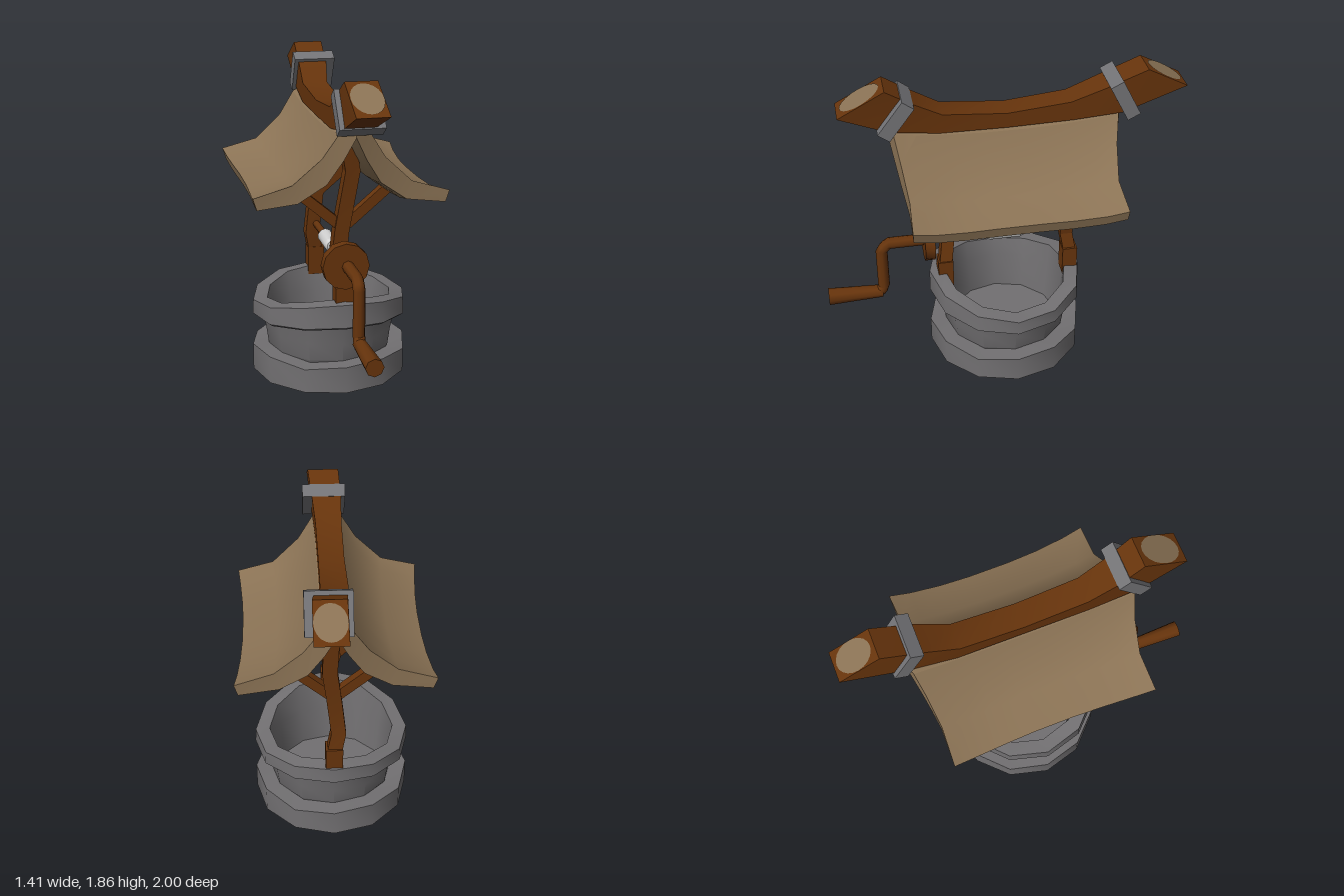
import * as THREE from 'three';
import { toCreasedNormals } from 'three/addons/utils/BufferGeometryUtils.js';

const mat = (name, color) => {
  const m = new THREE.MeshStandardMaterial({ color });
  m.name = name;
  return m;
};
const V = (x, y, z) => new THREE.Vector3(x, y, z);

// Skin over sections along z; each has top and bottom rows running from -x to +x
function loft(sections) {
  const out = [];
  const quad = (a, b, c, d) => [a, b, c, a, c, d].forEach(p => out.push(p.x, p.y, p.z));
  const loops = sections.map(s => [...s.top, ...[...s.bottom].reverse()]);
  for (let k = 0; k < loops.length - 1; k++) {
    const A = loops[k], B = loops[k + 1], n = A.length;
    for (let i = 0; i < n; i++) quad(A[i], B[i], B[(i + 1) % n], A[(i + 1) % n]);
  }
  const first = sections[0], last = sections[sections.length - 1];
  for (let i = 0; i < first.top.length - 1; i++) {
    quad(last.bottom[i], last.bottom[i + 1], last.top[i + 1], last.top[i]);
    quad(first.bottom[i + 1], first.bottom[i], first.top[i], first.top[i + 1]);
  }
  const g = new THREE.BufferGeometry();
  g.setAttribute('position', new THREE.Float32BufferAttribute(out, 3));
  return toCreasedNormals(g, 0.5);
}

// Twelve-sided turned stone whose heights waver around the circle
function stoneRing(profile, wave) {
  const g = new THREE.LatheGeometry(profile.map(p => new THREE.Vector2(...p)), 12);
  const pos = g.attributes.position;
  for (let i = 0; i < pos.count; i++) {
    const a = Math.atan2(pos.getX(i), pos.getZ(i));
    pos.setY(i, pos.getY(i) + wave(a, pos.getY(i)));
  }
  return toCreasedNormals(g, 0.6);
}

// Square timber following [x, y, z] points from bottom to top
function timber(path, w, d) {
  const n = path.length - 1;
  const g = new THREE.BoxGeometry(w, n, d, 1, n, 1);
  const pos = g.attributes.position;
  for (let i = 0; i < pos.count; i++) {
    const [x, y, z] = path[Math.round(pos.getY(i) + n / 2)];
    pos.setXYZ(i, pos.getX(i) + x, y, pos.getZ(i) + z);
  }
  return toCreasedNormals(g, 0.2);
}

export function createModel() {
  const wood = mat('brown wood', 0x67340c);
  const straw = mat('tan roof', 0x8b7355);
  const stone = mat('grey stone', 0x727072);
  const iron = mat('grey bracket', 0x747477);
  const rope = mat('pale rope', 0xd2d2d2);

  const model = new THREE.Group();
  const well = new THREE.Group();
  well.name = 'well';
  well.position.set(-0.009, 0, -0.035);
  well.rotation.y = -0.325;
  model.add(well);
  const add = (name, geo, material) => {
    const m = new THREE.Mesh(geo, material);
    m.name = name;
    well.add(m);
    return m;
  };
  // Cylinder lying along z
  const rod = (name, z0, z1, y, r0, r1, sides, material, x = 0) => {
    const g = new THREE.CylinderGeometry(r1, r0, z1 - z0, sides);
    g.rotateX(Math.PI / 2).translate(x, y, (z0 + z1) / 2);
    return add(name, toCreasedNormals(g, 0.9), material);
  };

  // Stone basin: hollow base ring, then wall and wavy rim in one turned piece
  add('baseRing', stoneRing([[0.38, 0], [0.466, 0], [0.466, 0.155], [0.35, 0.155], [0.38, 0]],
    (a, y) => (y > 0.1 ? 0.014 * Math.cos(4 * (a - 0.325)) : 0)), stone);
  add('basin', stoneRing([[0, 0.095], [0.335, 0.095], [0.37, 0.16], [0.385, 0.27], [0.405, 0.37], [0.445, 0.365],
    [0.464, 0.38], [0.46, 0.48], [0.375, 0.487], [0.355, 0.34], [0.335, 0.105], [0, 0.105]],
    (a, y) => {
      if (y > 0.45) return 0.037 * Math.cos(2 * a) + 0.022 * Math.cos(a);
      return y > 0.36 ? 0.022 * Math.cos(2 * a) : 0;
    }), stone);

  // Posts, feet and braces at both ends
  const bends = {
    front: [[0, 0.52], [0.005, 0.6], [-0.03, 0.75], [-0.01, 0.95], [0.05, 1.3], [0.035, 1.38], [-0.03, 1.56]],
    back: [[0, 0.52], [0, 0.6], [-0.025, 0.72], [0, 0.95], [0.025, 1.15], [0.02, 1.3], [0, 1.56]],
  };
  const lean = [0, 0, -0.02, -0.02, -0.01, 0, 0.01];
  for (const [end, s, z] of [['front', 1, 0.365], ['back', -1, -0.397]]) {
    add(end + 'Foot', new THREE.BoxGeometry(0.1, 0.18, 0.09).translate(0, 0.535, z), wood);
    add(end + 'Post', timber(bends[end].map(([x, y], i) => [x, y, z + lean[i] * s]), 0.085, 0.075), wood);
    for (const side of [-1, 1]) {
      add(end + 'Brace', timber([[0, 0.97, z - 0.02 * s], [0.3 * side, 1.225, z - 0.02 * s]], 0.09, 0.055), wood);
    }
  }

  // Winch: axle, rope roll, wheel and crank
  rod('axle', -0.4, 0.5, 0.78, 0.022, 0.022, 8, wood);
  rod('ropeRoll', -0.09, 0.09, 0.78, 0.045, 0.045, 10, rope);
  rod('ropeRollEnd', -0.115, -0.09, 0.78, 0.034, 0.045, 10, rope);
  rod('ropeRollEnd', 0.09, 0.115, 0.78, 0.045, 0.034, 10, rope);
  rod('wheel', 0.43, 0.49, 0.78, 0.134, 0.134, 12, wood, -0.01);
  const bend = [V(0, 0.78, 0.48), V(0, 0.78, 0.7), V(0, 0.735, 0.74), V(0, 0.46, 0.74), V(0, 0.425, 0.77), V(0, 0.425, 0.82)];
  const crank = new THREE.CurvePath();
  for (let i = 0; i < bend.length - 1; i++) crank.add(new THREE.LineCurve3(bend[i], bend[i + 1]));
  add('crank', new THREE.TubeGeometry(crank, 30, 0.035, 8), wood);
  rod('crankHandle', 0.75, 1.075, 0.428, 0.038, 0.051, 8, wood);

  // Roof: flared section whose corners kick up, slightly higher on the -x side
  const topRow = [[0, 1.565], [0.08, 1.525], [0.167, 1.385], [0.317, 1.242], [0.522, 1.182]];
  const lowRow = [[0, 1.505], [0.06, 1.38], [0.143, 1.245], [0.29, 1.14], [0.502, 1.115]];
  const mirrorRow = row => [...row.slice(1).reverse().map(([x, y]) => [-x, y]), ...row];
  const roofSections = [-1, -0.8, -0.5, -0.2, 0.2, 0.5, 0.8, 1].map(t => {
    const place = ([x, y]) => {
      const u = Math.abs(x) / 0.522;
      const lift = 0.045 * Math.abs(t) ** (2 + 2 * u) - 0.016 * x;
      return V(x * (0.97 + 0.07 * t * t), y + lift, t * (0.663 - 0.22 * u + 0.152 * u * u));
    };
    return { top: mirrorRow(topRow).map(place), bottom: mirrorRow(lowRow).map(place) };
  });
  add('roof', loft(roofSections), straw);

  // Ridge beam: [bottom z, bottom y, top z, top y, width, x shift]
  const stations = [
    [-1.005, 1.735, -0.775, 1.855, 0.175, 0.042], [-0.65, 1.59, -0.54, 1.75, 0.17, 0.025],
    [-0.38, 1.55, -0.36, 1.665, 0.15, 0], [0, 1.54, 0, 1.63, 0.145, 0],
    [0.38, 1.545, 0.36, 1.66, 0.15, 0], [0.66, 1.59, 0.52, 1.75, 0.17, 0.005],
    [0.93, 1.71, 0.67, 1.85, 0.18, 0.02],
  ];
  add('ridgeBeam', loft(stations.map(([zb, yb, zt, yt, w, x]) => ({
    top: [V(x - w / 2, yt, zt), V(x + w / 2, yt, zt)],
    bottom: [V(x - w / 2, yb, zb), V(x + w / 2, yb, zb)],
  }))), wood);

  // Pale end grain on the slanted cuts, and the brackets behind them
  const brackets = { front: [0.02, 1.68, 0.62, -0.64], back: [0.042, 1.692, -0.645, 0.48] };
  for (const [k, end, s] of [[6, 'front', 1], [0, 'back', -1]]) {
    const [zb, yb, zt, yt, w, x] = stations[k];
    const run = Math.abs(zb - zt), rise = yt - yb, len = Math.hypot(run, rise);
    const normal = V(0, run / len, s * rise / len);
    const grain = add(end + 'EndGrain', new THREE.CircleGeometry(1, 20), straw);
    grain.scale.set(w * 0.49, len * 0.42, 1);
    grain.position.set(x, (yb + yt) / 2, (zb + zt) / 2).addScaledVector(normal, 0.004);
    grain.rotation.x = Math.atan2(-normal.y, normal.z);
    const [bx, by, bz, tilt] = brackets[end];
    const bracket = add(end + 'Bracket', new THREE.BoxGeometry(0.25, 0.235, 0.08), iron);
    bracket.position.set(bx, by, bz);
    bracket.rotation.x = tilt;
  }
  return model;
}
